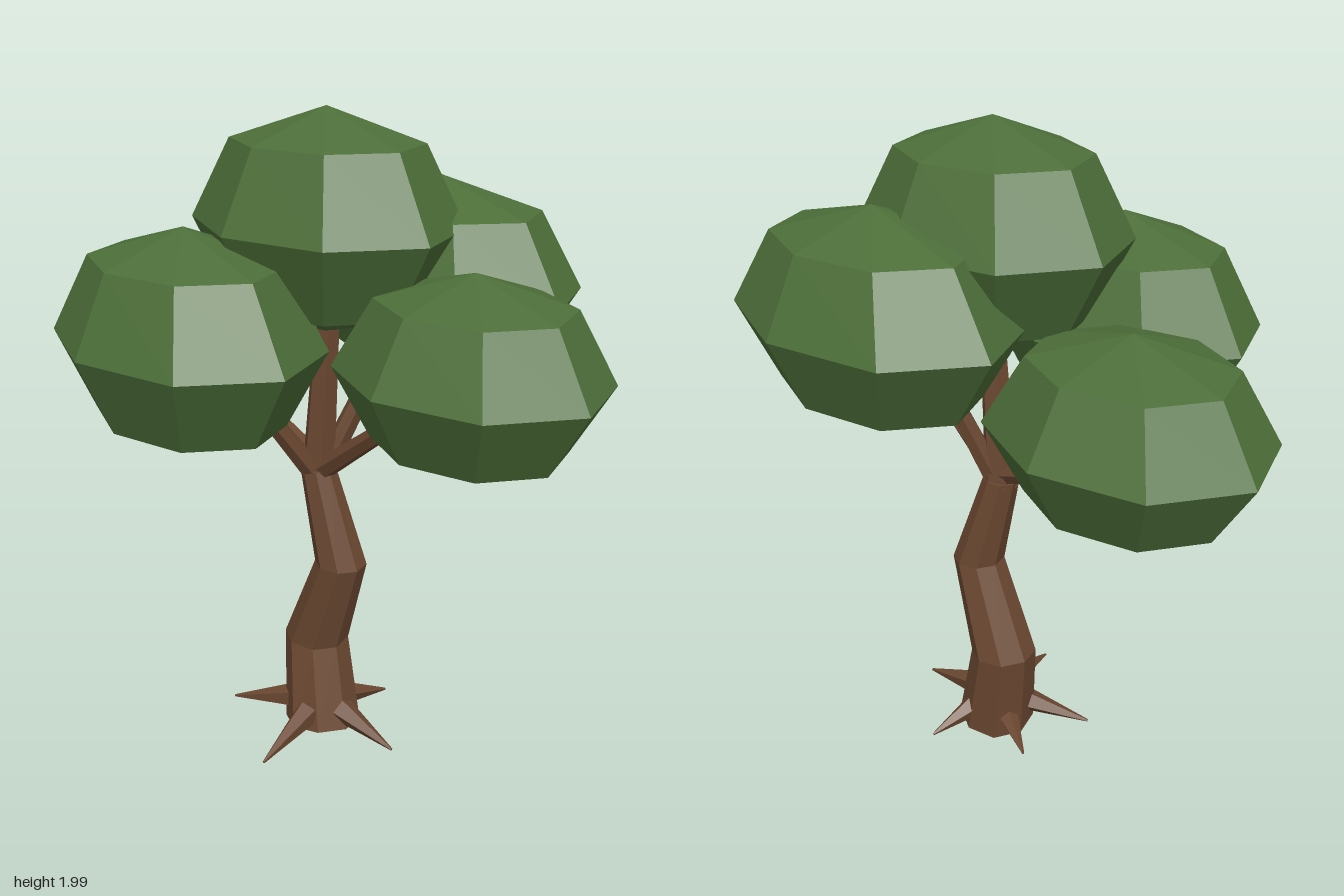
import * as THREE from 'three';

const bark = new THREE.MeshStandardMaterial({ color: 0x6b4831, flatShading: true });
bark.name = 'bark brown';
const leaf = new THREE.MeshStandardMaterial({ color: 0x4d6f39, flatShading: true });
leaf.name = 'leaf green';

function addMesh(parent, geometry, material, name) {
  const flat = geometry.toNonIndexed();
  flat.computeVertexNormals();
  const mesh = new THREE.Mesh(flat, material);
  mesh.name = name;
  parent.add(mesh);
  return mesh;
}

// Tapered limb running from one point to another
function addLimb(parent, name, from, to, r0, r1, sides) {
  const a = new THREE.Vector3(...from);
  const b = new THREE.Vector3(...to);
  const dir = b.clone().sub(a);
  const mesh = addMesh(parent, new THREE.CylinderGeometry(r1, r0, dir.length(), sides), bark, name);
  mesh.position.copy(a).add(b).multiplyScalar(0.5);
  mesh.quaternion.setFromUnitVectors(new THREE.Vector3(0, 1, 0), dir.normalize());
}

// Crooked trunk: each ring of a cylinder is moved to its own centre, radius and tilt
function trunkGeometry() {
  const rings = [ // x, y, z, radius, slope along x, slope along z
    [0.01, 0.025, -0.038, 0.122, 0.13, 0.08],
    [-0.045, 0.312, -0.054, 0.103, -0.06, 0],
    [0.067, 0.615, -0.062, 0.081, -0.03, 0],
    [-0.008, 0.918, -0.03, 0.055, 0.1, 0],
  ];
  const g = new THREE.CylinderGeometry(1, 1, 1, 8, 3);
  const p = g.attributes.position;
  for (let i = 0; i < p.count; i++) {
    const [cx, cy, cz, r, sx, sz] = rings[Math.round((p.getY(i) + 0.5) * 3)];
    const dx = p.getX(i) * r;
    const dz = p.getZ(i) * r;
    p.setXYZ(i, cx + dx, cy + dx * sx + dz * sz, cz + dz);
  }
  return g;
}

export function createModel() {
  const tree = new THREE.Group();
  tree.name = 'tree';

  addMesh(tree, trunkGeometry(), bark, 'trunk');

  // Pointed roots spreading from the foot
  const roots = new THREE.Group();
  roots.name = 'roots';
  tree.add(roots);
  const tips = [[0.31, -0.08], [0.12, 0.28], [-0.245, 0.14], [-0.23, -0.13], [0.03, -0.29]];
  for (const [x, z] of tips) {
    addLimb(roots, 'root', [0.01 + x * 0.28, 0.095, -0.035 + (z + 0.035) * 0.28], [x, 0.045, z], 0.042, 0.004, 5);
  }

  // Branches from the fork into each leaf cluster
  const branches = new THREE.Group();
  branches.name = 'branches';
  tree.add(branches);
  addLimb(branches, 'topBranch', [-0.008, 0.89, -0.03], [0.03, 1.5, -0.04], 0.053, 0.035, 6);
  addLimb(branches, 'leftBranch', [0.0, 0.91, -0.03], [0.45, 1.25, -0.05], 0.036, 0.022, 6);
  addLimb(branches, 'rightBranch', [0.0, 0.93, -0.03], [-0.45, 1.09, -0.03], 0.036, 0.022, 6);
  addLimb(branches, 'frontBranch', [-0.01, 0.9, -0.02], [-0.04, 1.25, 0.24], 0.036, 0.022, 6);
  addLimb(branches, 'backBranch', [0.0, 0.9, -0.04], [0.12, 1.35, -0.21], 0.036, 0.025, 6);

  // Faceted leaf clusters: centre, then radii
  const clusters = [
    ['topLeaves', [0.025, 1.68, -0.03], [0.437, 0.32, 0.355]],
    ['frontLeaves', [-0.1, 1.375, 0.365], [0.468, 0.32, 0.35]],
    ['rightLeaves', [-0.538, 1.263, -0.04], [0.432, 0.278, 0.355]],
    ['leftLeaves', [0.55, 1.345, -0.11], [0.412, 0.277, 0.345]],
    ['backLeaves', [0.12, 1.49, -0.37], [0.495, 0.305, 0.348]],
  ];
  for (const [name, c, r] of clusters) {
    const g = new THREE.SphereGeometry(1, 8, 4).scale(...r);
    addMesh(tree, g, leaf, name).position.set(...c);
  }
  return tree;
}
